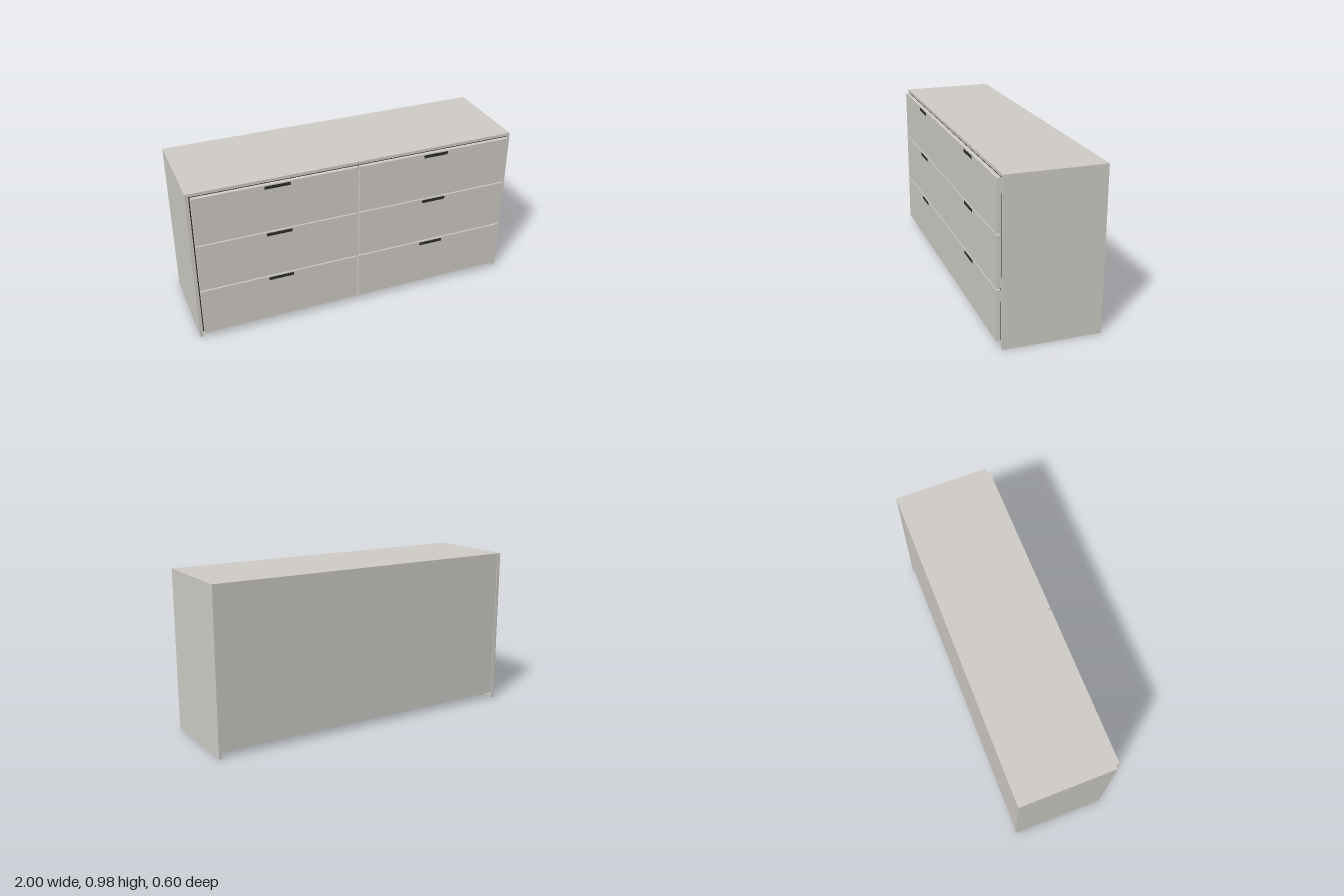
import * as THREE from 'three';

const paint = new THREE.MeshStandardMaterial({ color: 0xd0cdc7 });
paint.name = 'warm grey paint';
const dark = new THREE.MeshStandardMaterial({ color: 0x2c2c2c });
dark.name = 'dark recess';

// Box given by its minimum and maximum along each axis
function board(name, material, [x0, x1], [y0, y1], [z0, z1]) {
  const mesh = new THREE.Mesh(new THREE.BoxGeometry(x1 - x0, y1 - y0, z1 - z0), material);
  mesh.position.set((x0 + x1) / 2, (y0 + y1) / 2, (z0 + z1) / 2);
  mesh.name = name;
  return mesh;
}

export function createModel() {
  const model = new THREE.Group();
  model.name = 'dresser';

  // Carcass, open underneath
  model.add(
    board('top', paint, [-1, 1], [0.957, 0.975], [-0.3, 0.275]),
    board('rightSide', paint, [-1, -0.98], [0, 0.957], [-0.3, 0.275]),
    board('leftSide', paint, [0.98, 1], [0, 0.957], [-0.3, 0.275]),
    board('backPanel', paint, [-0.98, 0.98], [0.035, 0.957], [-0.295, -0.285]),
    board('innerFront', dark, [-0.98, 0.98], [0.04, 0.957], [0.255, 0.27]),
    board('plinth', dark, [-0.98, 0.98], [0, 0.04], [0.21, 0.23])
  );

  // Two columns of three drawers, each with a dark pull near its top edge
  for (const bottom of [0.041, 0.348, 0.654]) {
    for (const side of [-1, 1]) {
      const drawer = new THREE.Group();
      drawer.name = 'drawer';
      const centre = side * 0.489;
      const top = bottom + 0.299;
      drawer.add(
        board('drawerFront', paint, [centre - 0.485, centre + 0.485], [bottom, top], [0.275, 0.299]),
        board('pull', dark, [centre - 0.076, centre + 0.076], [top - 0.026, top - 0.007], [0.296, 0.3])
      );
      model.add(drawer);
    }
  }
  return model;
}
